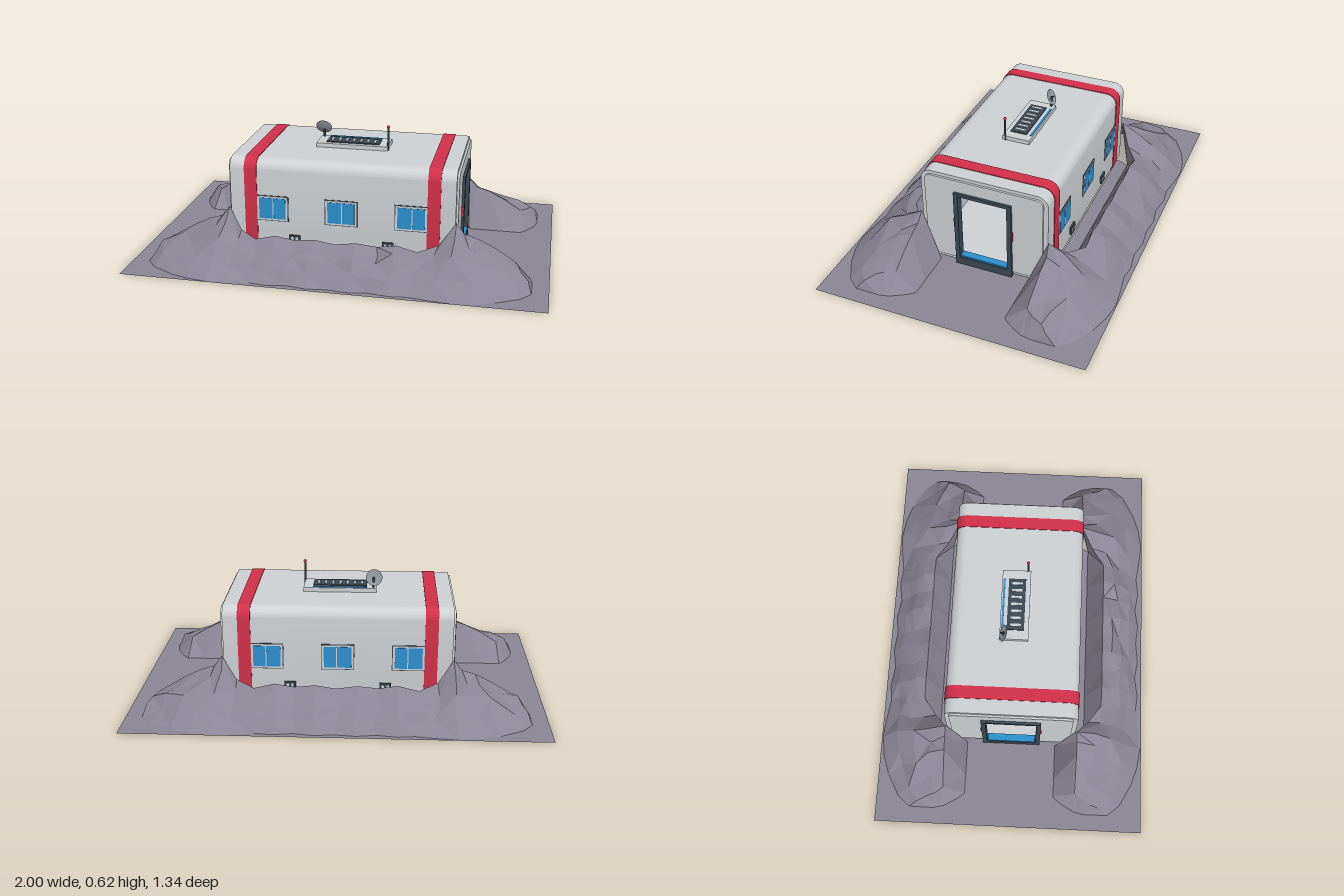
import * as THREE from 'three';
import { toCreasedNormals } from 'three/addons/utils/BufferGeometryUtils.js';

const mat = (name, color, opts = {}) => {
  const m = new THREE.MeshStandardMaterial({ color, ...opts });
  m.name = name;
  return m;
};

export function createModel() {
  const shell = mat('shell grey', 0xcdd1d4);
  const red = mat('stripe red', 0xd2304a);
  const dark = mat('dark slate', 0x3b4852);
  const blue = mat('window blue', 0x2c90cf);
  const metal = mat('metal grey', 0x8f969c, { side: THREE.DoubleSide });
  const rock = mat('rock grey', 0x8a8594, { flatShading: true, side: THREE.DoubleSide });

  const model = new THREE.Group();
  model.name = 'habitat';
  const add = (name, geo, material, x = 0, y = 0, z = 0) => {
    const mesh = new THREE.Mesh(geo, material);
    mesh.name = name;
    mesh.position.set(x, y, z);
    model.add(mesh);
    return mesh;
  };
  const box = (name, material, w, h, d, x, y, z) =>
    add(name, new THREE.BoxGeometry(w, h, d), material, x, y, z);

  // Rounded rectangle in the z-y plane, half width w, from y0 to y1
  const roundRect = (w, y0, y1, r, Type = THREE.Shape) => {
    const s = new Type();
    const q = Math.PI / 2;
    s.moveTo(w, y0 + r);
    s.absarc(w - r, y1 - r, r, 0, q);
    s.absarc(-w + r, y1 - r, r, q, 2 * q);
    s.absarc(-w + r, y0 + r, r, 2 * q, 3 * q);
    s.absarc(w - r, y0 + r, r, 3 * q, 4 * q);
    s.closePath();
    return s;
  };
  const rect = (w, y0, y1, Type = THREE.Shape) => new Type().setFromPoints(
    [[w, y0], [w, y1], [-w, y1], [-w, y0]].map(([a, b]) => new THREE.Vector2(a, b)));
  // Extrude a profile along x, centred on the given x
  const along = (name, material, shape, hole, length, x) => {
    if (hole) shape.holes.push(hole);
    let geo = new THREE.ExtrudeGeometry(shape, { depth: length, bevelEnabled: false, curveSegments: 8 });
    geo.translate(0, 0, -length / 2).rotateY(Math.PI / 2);
    geo = toCreasedNormals(geo, 0.6);
    return add(name, geo, material, x);
  };

  // Hollow body
  along('body', shell, roundRect(0.32, 0.005, 0.496, 0.055), rect(0.285, 0.035, 0.462, THREE.Path), 1.1, 0);

  // Stripes, end walls and doorways
  for (const s of [-1, 1]) {
    along('stripe', red, roundRect(0.324, 0.002, 0.5, 0.058),
      roundRect(0.318, 0.007, 0.494, 0.053, THREE.Path), 0.062, s * 0.447);
    along('endWall', shell, roundRect(0.297, 0.025, 0.479, 0.03), rect(0.13, 0.036, 0.405, THREE.Path), 0.025, s * 0.548);
    along('doorFrame', dark, rect(0.145, 0, 0.416), rect(0.123, 0.042, 0.4, THREE.Path), 0.04, s * 0.554);
    box('threshold', blue, 0.036, 0.008, 0.24, s * 0.554, 0.048, 0);
    for (const z of [-0.146, 0.146]) box('doorLight', red, 0.012, 0.05, 0.008, s * 0.563, 0.24, z);
  }

  // Windows and low vents on both long sides
  for (const s of [-1, 1]) {
    for (const x of [-0.34, 0, 0.34]) {
      box('windowOutline', dark, 0.16, 0.13, 0.004, x, 0.252, s * 0.3205);
      box('windowFrame', shell, 0.152, 0.122, 0.006, x, 0.252, s * 0.3215);
      box('windowGlass', blue, 0.132, 0.106, 0.006, x, 0.252, s * 0.323);
      box('windowBar', shell, 0.005, 0.106, 0.006, x + 0.004, 0.252, s * 0.3245);
    }
    for (const x of [-0.23, 0.23]) {
      box('vent', dark, 0.055, 0.042, 0.016, x, 0.1, s * 0.322);
      for (const d of [-0.012, 0.012]) box('ventSlat', shell, 0.012, 0.026, 0.004, x + d, 0.1, s * 0.33);
    }
  }

  // Pads below the floor
  for (const x of [-0.36, 0, 0.36]) box('floorPad', dark, 0.14, 0.006, 0.17, x, 0.004, 0);

  // Roof equipment
  box('roofDeck', shell, 0.36, 0.022, 0.14, 0, 0.506, -0.005);
  box('roofGrille', dark, 0.266, 0.006, 0.084, 0, 0.519, 0);
  for (let i = 0; i < 7; i++) box('grilleBar', shell, 0.012, 0.006, 0.052, -0.108 + i * 0.036, 0.522, 0);
  box('roofStrip', blue, 0.266, 0.005, 0.01, 0, 0.518, -0.064);

  // Antenna
  add('antenna', new THREE.CylinderGeometry(0.005, 0.005, 0.12, 8), dark, 0.18, 0.555, 0.05);
  add('antennaTip', new THREE.SphereGeometry(0.008, 10, 8), red, 0.18, 0.616, 0.05);

  // Dish, tipped up and to the back
  add('dishPost', new THREE.CylinderGeometry(0.006, 0.006, 0.06, 8), dark, -0.165, 0.535, -0.055);
  const dishProfile = [[0, -0.006], [0.02, -0.004], [0.041, 0.003]].map(([a, b]) => new THREE.Vector2(a, b));
  const dish = add('dish', new THREE.LatheGeometry(dishProfile, 20), metal, -0.168, 0.566, -0.052);
  dish.rotation.x = -1.1;
  const feed = add('dishFeed', new THREE.CylinderGeometry(0.003, 0.003, 0.022, 6), dark, -0.168, 0.57, -0.06);
  feed.rotation.x = -1.1;

  // Rock banks: stations of [inner x,z], [ridge x,z,y], [outer x,z]
  const half = [
    [[0.87, 0.26], [0.91, 0.33, 0], [0.925, 0.4]],
    [[0.84, 0.225], [0.83, 0.33, 0.085], [0.92, 0.5]],
    [[0.75, 0.225], [0.74, 0.33, 0.14], [0.87, 0.56]],
    [[0.66, 0.225], [0.66, 0.33, 0.18], [0.76, 0.62]],
    [[0.575, 0.225], [0.595, 0.33, 0.2], [0.67, 0.65]],
    [[0.553, 0.322, 0.24], [0.556, 0.326, 0.25], [0.57, 0.665]],
    [[0.53, 0.372], [0.48, 0.385, 0.155], [0.47, 0.655]],
    [[0.42, 0.372], [0.39, 0.45, 0.14], [0.37, 0.64]],
    [[0.31, 0.372], [0.29, 0.45, 0.165], [0.29, 0.65]],
    [[0.2, 0.372], [0.2, 0.45, 0.15], [0.19, 0.635]],
    [[0.1, 0.372], [0.1, 0.45, 0.16], [0.1, 0.65]],
  ];
  const flip = ([x, ...rest]) => [-x, ...rest];
  const stations = [...half, [[0, 0.372], [0, 0.45, 0.145], [0, 0.64]],
    ...half.slice().reverse().map((st) => st.map(flip))];
  let seed = 7;
  const jitter = (a) => {
    seed = (seed * 16807) % 2147483647;
    return (seed / 2147483647 - 0.5) * 2 * a;
  };
  const steps = 4; // rows from ridge to foot
  const bank = (s) => {
    const pos = [], idx = [], rows = steps + 2;
    for (const [a, r, o] of stations) {
      pos.push(a[0], a[2] || 0, s * a[1]);
      for (let j = 0; j <= steps; j++) {
        const t = j / steps;
        const k = j > 0 && j < steps && r[2] > 0 ? 1 : 0;
        const y = r[2] * (1 - t) + k * (0.02 * Math.sin(Math.PI * t) + jitter(0.014));
        pos.push(r[0] + (o[0] - r[0]) * t + k * jitter(0.014), y,
          s * (r[1] + (o[1] - r[1]) * t + k * jitter(0.01)));
      }
    }
    for (let i = 0; i < stations.length - 1; i++) {
      for (let j = 0; j < rows - 1; j++) {
        const a = i * rows + j, b = a + rows, c = a + 1, d = b + 1;
        const tris = (i + j) % 2 ? [[a, b, c], [b, d, c]] : [[a, b, d], [a, d, c]];
        for (const [p, q, r] of tris) idx.push(...(s > 0 ? [p, q, r] : [p, r, q]));
      }
    }
    const indexed = new THREE.BufferGeometry();
    indexed.setAttribute('position', new THREE.Float32BufferAttribute(pos, 3));
    indexed.setIndex(idx);
    const geo = indexed.toNonIndexed();
    geo.computeVertexNormals();
    add(s > 0 ? 'frontRockBank' : 'backRockBank', geo, rock);
  };
  bank(1);
  bank(-1);

  // Flat ground, open below the body and the hollow banks
  const path = (pts, Type) => new Type().setFromPoints(pts.map(([x, z]) => new THREE.Vector2(x, -z)));
  const ground = path([[-1, 0.67], [1, 0.67], [1, -0.67], [-1, -0.67]], THREE.Shape);
  ground.holes.push(path([[-0.54, 0.305], [0.54, 0.305], [0.54, -0.305], [-0.54, -0.305]], THREE.Path));
  for (const s of [-1, 1]) {
    const outline = [...stations.map((st) => st[0]), stations[stations.length - 1][1],
      ...stations.slice().reverse().map((st) => st[2]), stations[0][1]];
    ground.holes.push(path(outline.map(([x, z]) => [x, s * z]), THREE.Path));
  }
  add('ground', new THREE.ShapeGeometry(ground).rotateX(-Math.PI / 2), rock);

  return model;
}
